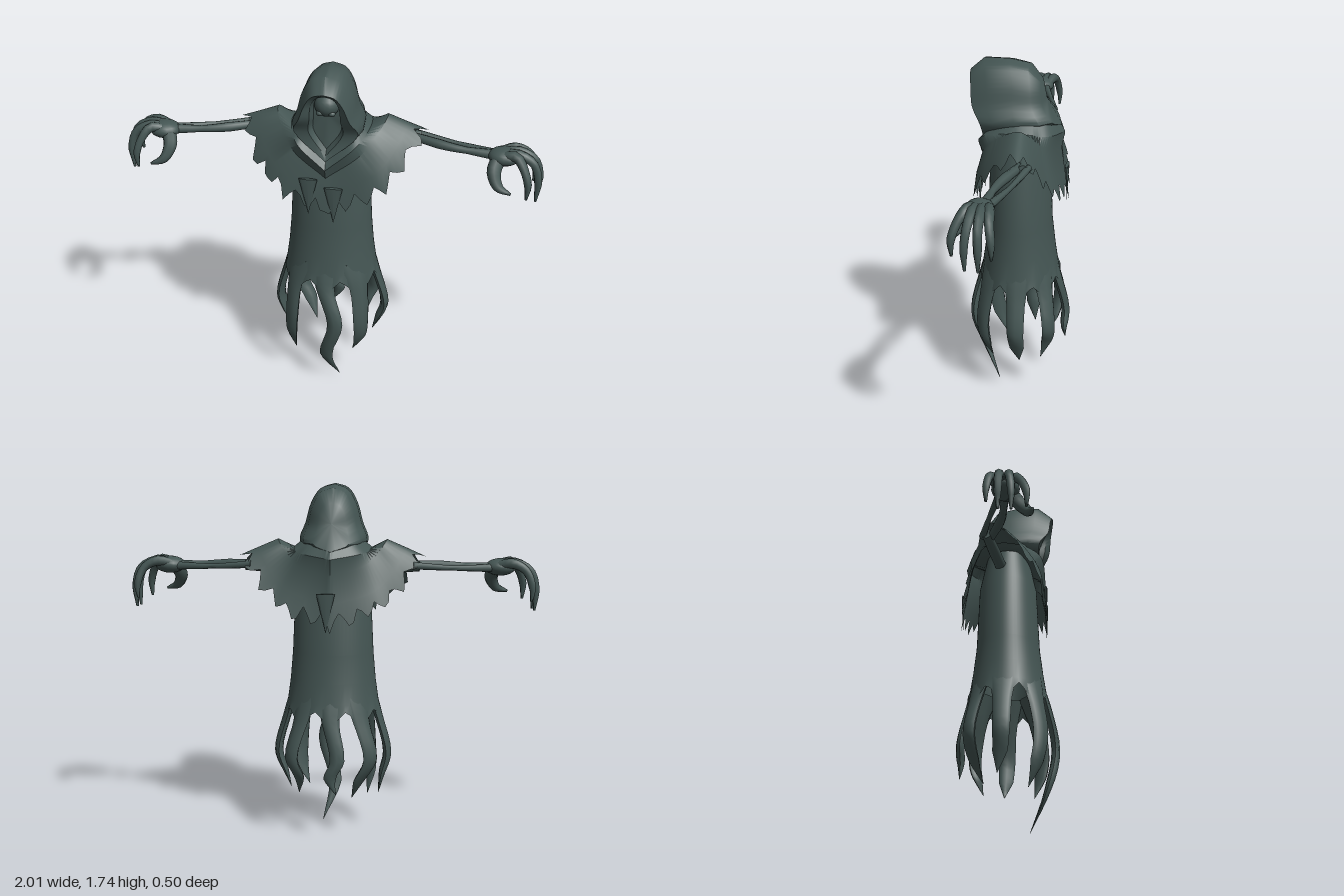
import * as THREE from 'three';
import { toCreasedNormals } from 'three/addons/utils/BufferGeometryUtils.js';

const V = (p) => new THREE.Vector3(...p);
const lerp = THREE.MathUtils.lerp;
const curve = (points) => new THREE.CatmullRomCurve3(points.map(V));
const ring = (n, f) => Array.from({ length: n }, (_, i) => f((i / n) * Math.PI * 2, i));
const cloth = new THREE.MeshStandardMaterial({ color: 0x445553, side: THREE.DoubleSide });
cloth.name = 'dark grey-green';

let seed = 7;
const rand = () => (seed = (seed * 16807) % 2147483647) / 2147483647;

// Skin a list of closed rings, optionally closing both ends
function loft(rows, capped, crease) {
  const n = rows[0].length, pos = [], idx = [];
  rows.forEach((r) => r.forEach((p) => pos.push(p.x, p.y, p.z)));
  for (let j = 0; j < rows.length - 1; j++)
    for (let i = 0; i < n; i++) {
      const a = j * n + i, b = j * n + ((i + 1) % n);
      idx.push(a, b, a + n, b, b + n, a + n);
    }
  const cap = (j, flip) => {
    const c = rows[j].reduce((s, p) => s.add(p), new THREE.Vector3()).divideScalar(n);
    const k = pos.length / 3;
    pos.push(c.x, c.y, c.z);
    for (let i = 0; i < n; i++) {
      const a = j * n + i, b = j * n + ((i + 1) % n);
      idx.push(k, flip ? b : a, flip ? a : b);
    }
  };
  if (capped) {
    cap(0, true);
    cap(rows.length - 1, false);
  }
  const g = new THREE.BufferGeometry();
  g.setAttribute('position', new THREE.Float32BufferAttribute(pos, 3));
  g.setIndex(idx);
  return toCreasedNormals(g, crease);
}

// Half outline (x >= 0) smoothed and mirrored into a closed ring
function mirrorRing(keys, half) {
  const right = curve(keys).getPoints(half);
  const left = right.slice(1, half).reverse().map((p) => V([-p.x, p.y, p.z]));
  return [...right, ...left];
}

// Round tapering limb along a curve
function limb(points, radii) {
  const c = curve(points), steps = 12, f = c.computeFrenetFrames(steps), rows = [];
  for (let j = 0; j <= steps; j++) {
    const p = c.getPointAt(j / steps), s = (j / steps) * (radii.length - 1);
    const k = Math.min(Math.floor(s), radii.length - 2), r = lerp(radii[k], radii[k + 1], s - k);
    rows.push(ring(8, (a) => p.clone()
      .addScaledVector(f.normals[j], r * Math.cos(a))
      .addScaledVector(f.binormals[j], r * Math.sin(a))));
  }
  return loft(rows, true, 1.4);
}

// Lens-shaped cloth strip that leaves the hem at an angle, sways and ends in a point
function tatter(deg, width, sway, tip) {
  const a = THREE.MathUtils.degToRad(deg), steps = 16;
  const out = V([Math.sin(a), 0, Math.cos(a)]), side = V([Math.cos(a), 0, -Math.sin(a)]);
  const hang = (r, y, x = 0) => V([out.x * r + x, y, out.z * (r - 0.036)]);
  const end = V(tip), low = hang(0.262, 0.44).lerp(end, 0.32);
  low.y = lerp(0.42, end.y, 0.55);
  low.x -= sway * 0.3;
  const c = new THREE.CatmullRomCurve3([hang(0.19, 0.73), hang(0.228, 0.6), hang(0.264, 0.41, sway), low, end]);
  const rows = [];
  for (let j = 0; j <= steps; j++) {
    const t = j / steps, p = c.getPoint(t);
    const w = t < 0.3 ? 1 - t * 1.3 : t < 0.75 ? 0.61 - (t - 0.3) * 0.3 : (1 - t) * 1.86 + 0.01;
    const d = 0.02 * Math.min(1, (1 - t) * 3) + 0.001;
    rows.push(ring(8, (q) => p.clone()
      .addScaledVector(side, Math.cos(q) * w * width / 2)
      .addScaledVector(out, Math.sin(q) * d)));
  }
  return loft(rows, true, 0.9);
}

export function createModel() {
  const model = new THREE.Group();
  model.name = 'hoodedWraith';
  const add = (name, geo, parent = model) => {
    const m = new THREE.Mesh(geo, cloth);
    m.name = name;
    parent.add(m);
    return m;
  };
  const ball = (name, center, size, parent) => {
    const m = add(name, new THREE.SphereGeometry(1, 16, 12), parent);
    m.position.set(...center);
    m.scale.set(...size);
  };

  // Robe: flared tube whose hem rises at the gaps between the tatters
  const gaps = [19, 72, 118, 161];
  const robe = [[1.42, 0.14, 0.11], [1.25, 0.185, 0.145], [0.92, 0.2, 0.158], [0.78, 0.212, 0.174], [0.68, 0.226, 0.189], [0.6, 0.238, 0.202]];
  add('robe', loft(robe.map(([y, rx, rz], j) => ring(60, (a, i) => {
    const deg = Math.min(i * 6, 360 - i * 6);
    const near = Math.min(...gaps.map((g) => Math.abs(g - deg)));
    const lift = j === robe.length - 1 ? Math.max(0, 0.05 - near * 0.004) : 0;
    return V([Math.sin(a) * rx, y + lift, Math.cos(a) * rz]);
  })), false, 0.9));

  // Hanging tatters: angle, width, sway, tip
  [
    [0, 0.14, 0.055, [0.06, 0, 0.1]],
    [45, 0.17, -0.01, [0.13, 0.19, 0.12]],
    [-45, 0.17, 0.01, [-0.17, 0.15, 0.1]],
    [95, 0.15, 0.01, [0.21, 0.22, -0.03]],
    [-95, 0.15, -0.01, [-0.23, 0.2, -0.04]],
    [140, 0.15, 0.025, [0.16, 0.22, -0.13]],
    [-140, 0.15, -0.025, [-0.1, 0.19, -0.11]],
    [180, 0.13, -0.035, [-0.03, 0.24, -0.23]],
  ].forEach((s) => add('tatter', tatter(...s)));

  // Mantle: collar, fold, shoulder and ragged hem, each from front to back
  const mantle = [
    [[0, 1.33, 0.15], [0.12, 1.43, 0.12], [0.16, 1.46, 0], [0.11, 1.46, -0.13], [0, 1.46, -0.18]],
    [[0, 1.27, 0.195], [0.14, 1.39, 0.165], [0.19, 1.435, -0.01], [0.15, 1.415, -0.15], [0, 1.39, -0.215]],
    [[0, 1.22, 0.175], [0.17, 1.35, 0.14], [0.265, 1.475, -0.04], [0.17, 1.36, -0.145], [0, 1.31, -0.2]],
    [[0, 1.14, 0.19], [0.25, 1.27, 0.155], [0.36, 1.435, -0.05], [0.23, 1.25, -0.17], [0, 1.17, -0.22]],
    [[0, 1.04, 0.2], [0.28, 1.18, 0.165], [0.43, 1.405, -0.06], [0.26, 1.17, -0.195], [0, 1.07, -0.235]],
  ].map((keys) => mirrorRing(keys, 48));
  const jag = [1.12, 0.95, 0.5, 0.8];
  mantle[4] = mantle[4].map((p, i) => mantle[3][i].clone().lerp(p, jag[i % 4] * (0.8 + 0.4 * rand())));
  add('mantle', loft(mantle, false, 0.6));
  // Long torn points at the middle of the hem, front and back
  [[0.04, 0.99, 0.2, 0], [-0.08, 1.03, 0.2, 0], [0.02, 1.04, -0.237, 180]].forEach(([x, y, z, deg]) => {
    const shred = add('mantleShred', new THREE.ConeGeometry(0.045, 0.19, 8));
    shred.scale.z = 0.2;
    shred.rotation.set(Math.PI, THREE.MathUtils.degToRad(deg), 0);
    shred.position.set(x, y + 0.095, z - Math.sign(z) * 0.006);
  });

  // Hood: recess, inner rim, brim, then back over the head (top y z, temple, cheek, chin y z)
  const hood = [
    [1.63, 0.12, [0.06, 1.58, 0.13], [0.065, 1.45, 0.125], 1.36, 0.145],
    [1.65, 0.2, [0.064, 1.6, 0.195], [0.08, 1.45, 0.165], 1.335, 0.17],
    [1.675, 0.238, [0.085, 1.615, 0.222], [0.15, 1.45, 0.165], 1.31, 0.18],
    [1.735, 0.17, [0.11, 1.645, 0.145], [0.166, 1.45, 0.1], 1.35, 0.1],
    [1.735, 0.05, [0.11, 1.645, 0.02], [0.162, 1.46, 0], 1.38, 0],
    [1.72, -0.04, [0.098, 1.625, -0.06], [0.135, 1.46, -0.11], 1.4, -0.11],
    [1.65, -0.1, [0.06, 1.6, -0.105], [0.085, 1.46, -0.165], 1.425, -0.2],
  ].map(([ty, tz, temple, cheek, cy, cz]) => {
    const crown = [temple[0] * 0.6, lerp(ty, temple[1], 0.25), lerp(tz, temple[2], 0.4)];
    const jaw = [0.5, 0.5, 0.2].map((k, i) => lerp(temple[i], cheek[i], k));
    return mirrorRing([[0, ty, tz], crown, temple, jaw, cheek, [0, cy, cz]], 20);
  });
  add('hood', loft(hood, true, 0.7));

  // Shadowed face inside the hood
  ball('face', [0, 1.58, 0.12], [0.06, 0.058, 0.062]);
  [-1, 1].forEach((s) => ball('cheek', [s * 0.028, 1.55, 0.16], [0.017, 0.013, 0.015]));

  // Arms: upper arm, two bare forearm bones, palm and clawed fingers
  [1, -1].forEach((s) => {
    const arm = new THREE.Group();
    arm.name = s > 0 ? 'leftArm' : 'rightArm';
    model.add(arm);
    const bone = (name, pts, radii) => add(name, limb(pts.map(([x, y, z]) => [s * x, y, z]), radii), arm);
    bone('upperArm', [[0.14, 1.33, -0.03], [0.42, 1.352, -0.085]], [0.03, 0.03, 0.026]);
    bone('outerForearm', [[0.38, 1.355, -0.065], [0.58, 1.345, 0], [0.78, 1.335, 0.02]], [0.02, 0.024, 0.017, 0.026]);
    bone('innerForearm', [[0.39, 1.355, -0.105], [0.58, 1.34, -0.06], [0.78, 1.335, 0]], [0.018, 0.012, 0.02]);
    ball('palm', [s * 0.815, 1.338, 0.028], [0.075, 0.042, 0.065], arm);
    // Fingers: knuckle z, tip z, reach, tip height
    [[-0.025, -0.05, 0.965, 1.18], [0.008, 0.002, 0.985, 1.13], [0.042, 0.06, 0.98, 1.13], [0.07, 0.125, 0.935, 1.17]].forEach(([b, e, x, y]) =>
      bone('finger', [[0.79, 1.345, b * 0.6 + 0.01], [0.87, 1.36, b], [x - 0.03, 1.325, (b + e) / 2], [x, 1.245, e], [x - 0.003, y, e]],
        [0.02, 0.025, 0.02, 0.018, 0.006]));
    bone('thumb', [[0.79, 1.33, 0.05], [0.775, 1.285, 0.09], [0.8, 1.228, 0.13], [0.86, 1.205, 0.15]], [0.036, 0.033, 0.024, 0.006]);
  });

  return model;
}
